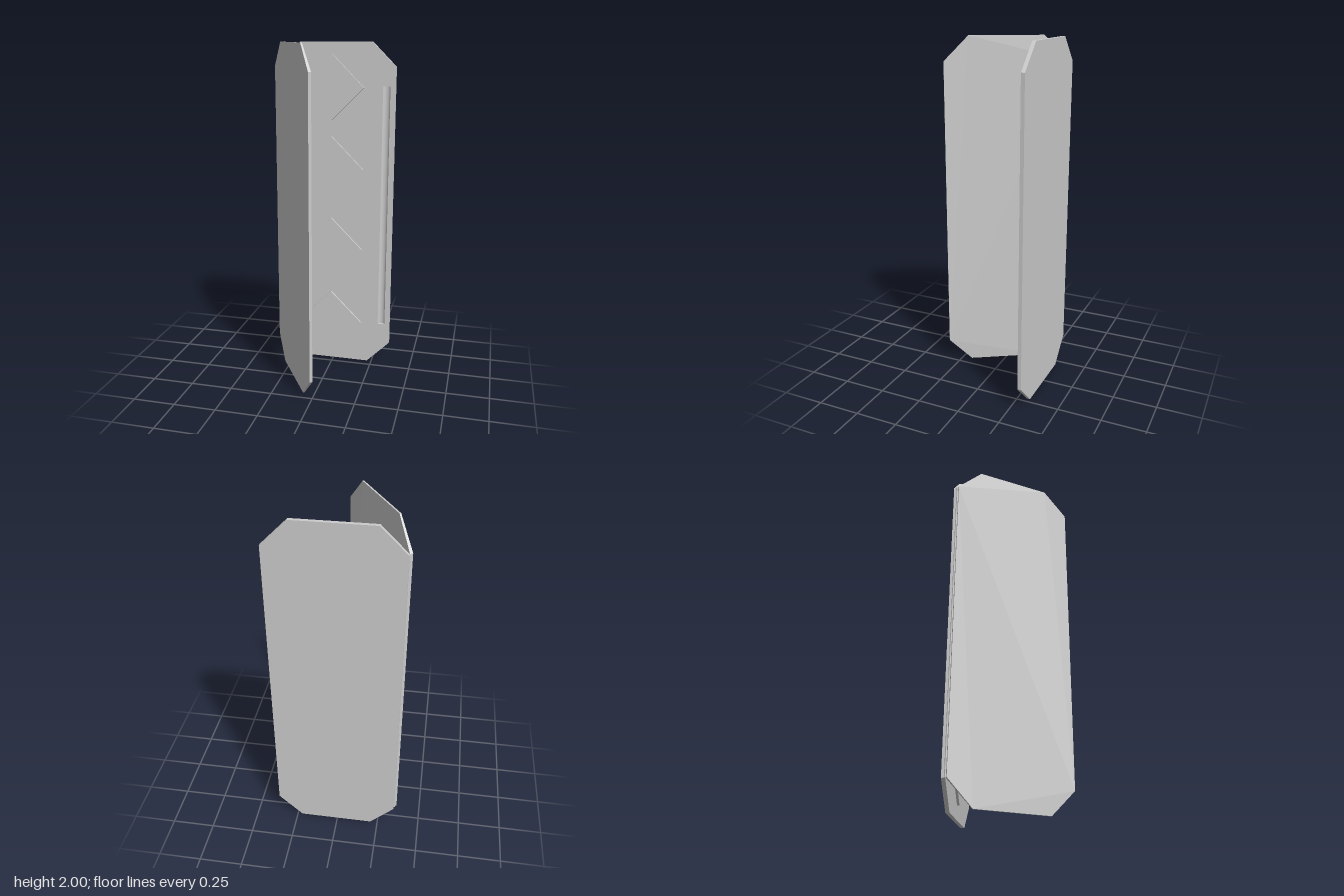
import * as THREE from 'three';

const grey = new THREE.MeshStandardMaterial({ color: 0xcccccc });
const greyDouble = new THREE.MeshStandardMaterial({ color: 0xcccccc, side: THREE.DoubleSide });

// Tall rectangle with cut corners, from x = 0 to w and y = 0 to 2
function octagon(w, c = 0.14, h = 2) {
  return new THREE.Shape([
    [c, 0], [w - c, 0], [w, c], [w, h - c], [w - c, h], [c, h], [0, h - c], [0, c],
  ].map(([x, y]) => new THREE.Vector2(x, y)));
}

function extrude(shape, depth) {
  return new THREE.ExtrudeGeometry(shape, { depth, bevelEnabled: false });
}

export function createModel() {
  const model = new THREE.Group();
  const add = (name, geometry, x, y, z, material = grey) => {
    const mesh = new THREE.Mesh(geometry, material);
    mesh.name = name;
    mesh.position.set(x, y, z);
    model.add(mesh);
    return mesh;
  };
  const width = 0.709, left = -0.347;

  // Back panel: thin solid backing plus a front layer with the groove opening
  add('panelBacking', extrude(octagon(width), 0.004), left, 0, -0.321);
  const face = octagon(width);
  const g = { x0: 0.287 - left, x1: 0.331 - left, y0: 0.265, y1: 1.75 };
  face.holes.push(new THREE.Path([
    new THREE.Vector2(g.x0, g.y0), new THREE.Vector2(g.x0, g.y1),
    new THREE.Vector2(g.x1, g.y1), new THREE.Vector2(g.x1, g.y0),
  ]));
  add('panelFace', extrude(face, 0.017), left, 0, -0.317);

  // Rounded floor of the long groove
  const floor = new THREE.CylinderGeometry(0.022, 0.022, g.y1 - g.y0, 16, 1, true, Math.PI / 2, Math.PI);
  floor.scale(1, 1, 0.65);
  add('grooveFloor', floor, 0.309, (g.y0 + g.y1) / 2, -0.3, greyDouble);

  // Four raised diamond plates
  const side = 0.193 * Math.SQRT2;
  for (const y of [0.268, 0.752, 1.257, 1.74]) {
    const plate = add('diamondPlate', new THREE.BoxGeometry(side, side, 0.017), -0.015, y, -0.2955);
    plate.rotation.z = Math.PI / 4;
  }

  // Hinge pin between the panel and the door
  add('hingePin', new THREE.CylinderGeometry(0.007, 0.007, 1.72, 16), -0.348, 1, -0.299);

  // Open door: its inner face thins towards the top and bottom edges
  const doorGeometry = extrude(octagon(0.707), 0.0165);
  doorGeometry.translate(0, 0, -0.0165);
  const p = doorGeometry.attributes.position;
  for (let i = 0; i < p.count; i++) {
    if (p.getZ(i) < -0.001 && Math.abs(p.getY(i) - 1) > 0.95) p.setZ(i, -0.009);
  }
  doorGeometry.computeVertexNormals();
  add('door', doorGeometry, -0.362, 0, -0.29).rotation.y = -1.028;

  return model;
}
